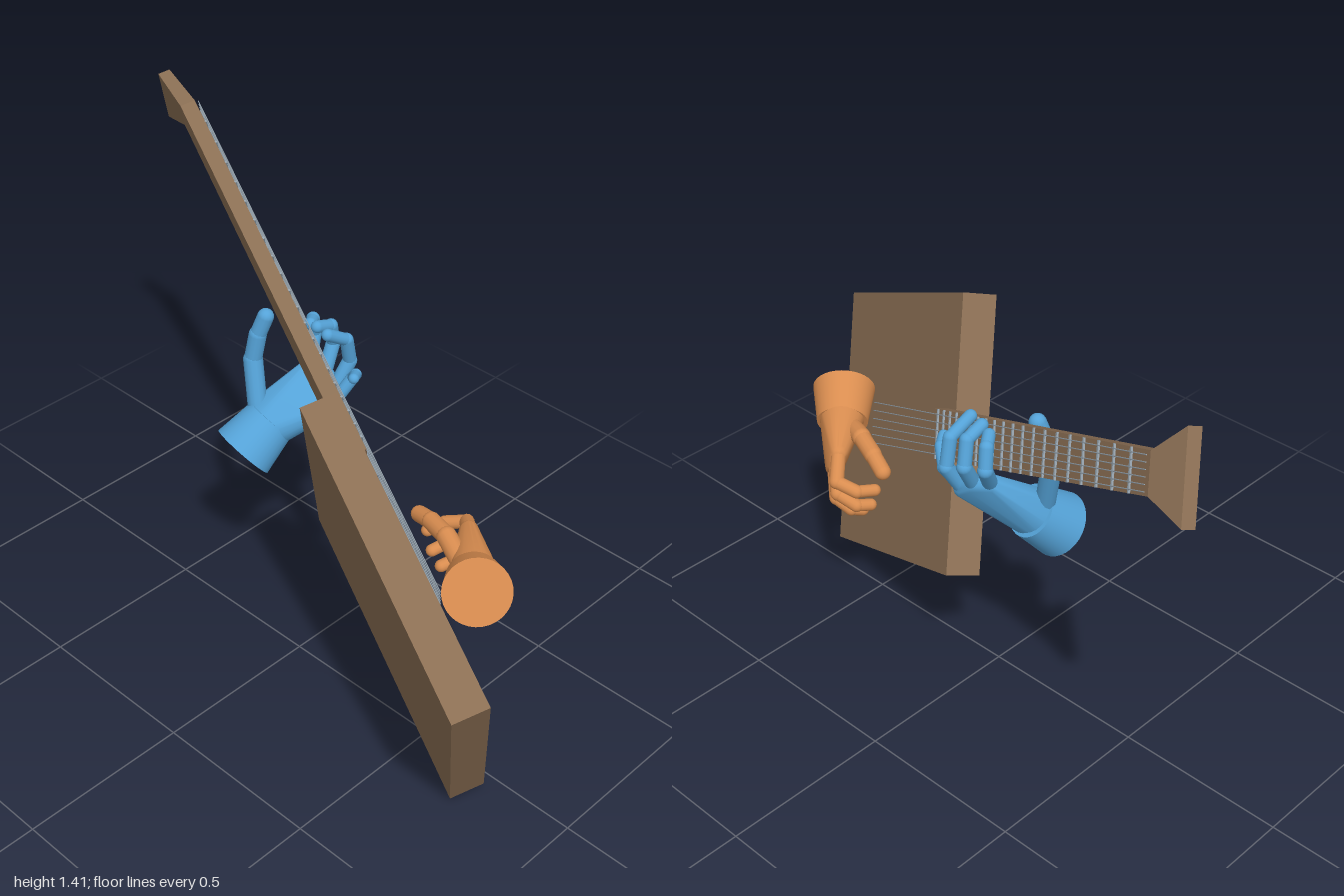
import * as THREE from 'three';
import { ConvexGeometry } from 'three/addons/geometries/ConvexGeometry.js';
import { toCreasedNormals } from 'three/addons/utils/BufferGeometryUtils.js';

const V = (a) => new THREE.Vector3(...a);
const UP = new THREE.Vector3(0, 1, 0);

function material(name, color) {
  const m = new THREE.MeshStandardMaterial({ color });
  m.name = name;
  return m;
}

function add(parent, name, geometry, mat) {
  const mesh = new THREE.Mesh(geometry, mat);
  mesh.name = name;
  parent.add(mesh);
  return mesh;
}

// Lays a mesh that runs along y between two points.
function between(mesh, a, b) {
  mesh.position.copy(a).add(b).multiplyScalar(0.5);
  mesh.quaternion.setFromUnitVectors(UP, b.clone().sub(a).normalize());
  return mesh;
}

// Box along x whose two ends are [x, halfHeight, zBack, zFront].
function taperedBox(start, end) {
  const g = new THREE.BoxGeometry(1, 1, 1);
  const p = g.attributes.position;
  for (let i = 0; i < p.count; i++) {
    const [x, h, z0, z1] = p.getX(i) < 0 ? start : end;
    p.setXYZ(i, x, p.getY(i) * 2 * h, p.getZ(i) < 0 ? z0 : z1);
  }
  g.computeVertexNormals();
  return g;
}

function buildGuitar(wood, metal) {
  const guitar = new THREE.Group();
  guitar.name = 'guitar';
  add(guitar, 'body', new THREE.BoxGeometry(0.884, 0.78, 0.1), wood);

  // Neck and flared head, the head bent away from the strings
  const nut = [-1.63, 0.05, -0.1, -0.055];
  add(guitar, 'neck', taperedBox(nut, [-0.4, 0.069, -0.1, -0.055]), wood);
  add(guitar, 'head', taperedBox([-1.72, 0.11, -0.065, -0.03], nut), wood);

  // Frets, closer together towards the body
  for (let i = 1; i <= 20; i++) {
    const t = (1 - Math.pow(0.965, i)) / (1 - Math.pow(0.965, 21));
    const fret = add(guitar, 'fret', new THREE.BoxGeometry(0.006, 0.1 + 0.038 * t, 0.006), metal);
    fret.position.set(-1.63 + 1.23 * t, 0, -0.102);
  }

  // Six strings
  for (let i = 0; i < 6; i++) {
    const s = i / 2.5 - 1;
    const a = V([-1.63, s * 0.04, -0.11]);
    const b = V([0.04, s * 0.06, -0.11]);
    const string = add(guitar, 'string', new THREE.CylinderGeometry(0.0015, 0.0015, a.distanceTo(b), 6), metal);
    between(string, a, b);
  }

  // Tilt into the playing position
  const u = V([0.848, -0.441, 0.294]).normalize();
  const n = u.clone().cross(V([0.308, 0.859, 0.41])).normalize();
  const v = n.clone().cross(u);
  guitar.quaternion.setFromRotationMatrix(new THREE.Matrix4().makeBasis(u, v, n));
  guitar.position.set(0.477, 0.553, 0.127);
  return guitar;
}

// Chain of rounded segments through the joints.
function addFinger(parent, name, joints, radius, mat) {
  const finger = new THREE.Group();
  finger.name = name;
  for (let i = 0; i + 1 < joints.length; i++) {
    const a = V(joints[i]);
    const b = V(joints[i + 1]);
    const r = radius * (1 - 0.08 * i);
    between(add(finger, name + 'Segment', new THREE.CapsuleGeometry(r, a.distanceTo(b), 6, 14), mat), a, b);
  }
  parent.add(finger);
}

function buildHand(name, mat, cap, axis, thumb, fingers) {
  const hand = new THREE.Group();
  hand.name = name;
  const dir = V(axis).normalize();
  const start = V(cap);
  const along = (d) => start.clone().addScaledVector(dir, d);

  // Cuff of the forearm
  const wrist = add(hand, 'wrist', new THREE.CylinderGeometry(0.075, 0.092, 0.12, 32), mat);
  between(wrist, start, along(0.12));

  // Palm: hull from the wrist ring to the knuckles and the thumb base
  const points = [];
  const ring = new THREE.Quaternion().setFromUnitVectors(UP, dir);
  for (let i = 0; i < 24; i++) {
    const a = (i / 24) * Math.PI * 2;
    points.push(V([Math.cos(a) * 0.07, 0, Math.sin(a) * 0.07]).applyQuaternion(ring).add(along(0.09)));
  }
  const ball = new THREE.SphereGeometry(0.027, 10, 8).attributes.position;
  for (const centre of [...fingers.map((f) => f[0]), thumb[0]]) {
    for (let i = 0; i < ball.count; i++) {
      points.push(new THREE.Vector3().fromBufferAttribute(ball, i).add(V(centre)));
    }
  }
  add(hand, 'palm', toCreasedNormals(new ConvexGeometry(points), 0.7), mat);

  addFinger(hand, 'thumb', thumb, 0.028, mat);
  const names = ['indexFinger', 'middleFinger', 'ringFinger', 'littleFinger'];
  fingers.forEach((f, i) => addFinger(hand, names[i], f, i === 3 ? 0.018 : 0.021, mat));
  return hand;
}

export function createModel() {
  const wood = material('brown wood', 0x8b6f54);
  const metal = material('string metal', 0x93a0aa);
  const blue = material('blue', 0x55a3d8);
  const orange = material('orange', 0xd98d50);

  const model = new THREE.Group();
  model.name = 'guitarWithHands';
  model.add(buildGuitar(wood, metal));

  // Hand gripping the neck
  model.add(buildHand('frettingHand', blue, [-0.225, 0.61, 0], [0.2, 0.65, -0.73],
    [[-0.235, 0.72, -0.07], [-0.272, 0.86, -0.09], [-0.262, 0.94, -0.1], [-0.245, 1.0, -0.115]],
    [
      [[-0.17, 0.82, -0.21], [-0.2, 0.9, -0.26], [-0.19, 0.96, -0.245], [-0.165, 0.97, -0.21]],
      [[-0.13, 0.81, -0.23], [-0.14, 0.89, -0.275], [-0.13, 0.96, -0.255], [-0.13, 0.98, -0.2]],
      [[-0.09, 0.78, -0.23], [-0.075, 0.86, -0.275], [-0.07, 0.94, -0.255], [-0.08, 0.98, -0.19]],
      [[-0.07, 0.75, -0.2], [-0.04, 0.83, -0.25], [-0.005, 0.87, -0.225], [0.015, 0.88, -0.195]],
    ]));

  // Hand plucking the strings
  model.add(buildHand('strummingHand', orange, [0.665, 0.645, 0.03], [-0.62, -0.4, -0.65],
    [[0.54, 0.61, -0.06], [0.45, 0.63, -0.1], [0.37, 0.62, -0.13], [0.31, 0.6, -0.15]],
    [
      [[0.46, 0.61, -0.18], [0.4, 0.57, -0.245], [0.345, 0.55, -0.22], [0.325, 0.54, -0.17]],
      [[0.47, 0.57, -0.185], [0.41, 0.52, -0.235], [0.36, 0.49, -0.21], [0.345, 0.48, -0.17]],
      [[0.495, 0.54, -0.17], [0.44, 0.48, -0.215], [0.395, 0.455, -0.2], [0.38, 0.445, -0.17]],
      [[0.52, 0.52, -0.15], [0.475, 0.465, -0.185], [0.44, 0.44, -0.18], [0.425, 0.43, -0.16]],
    ]));
  return model;
}
